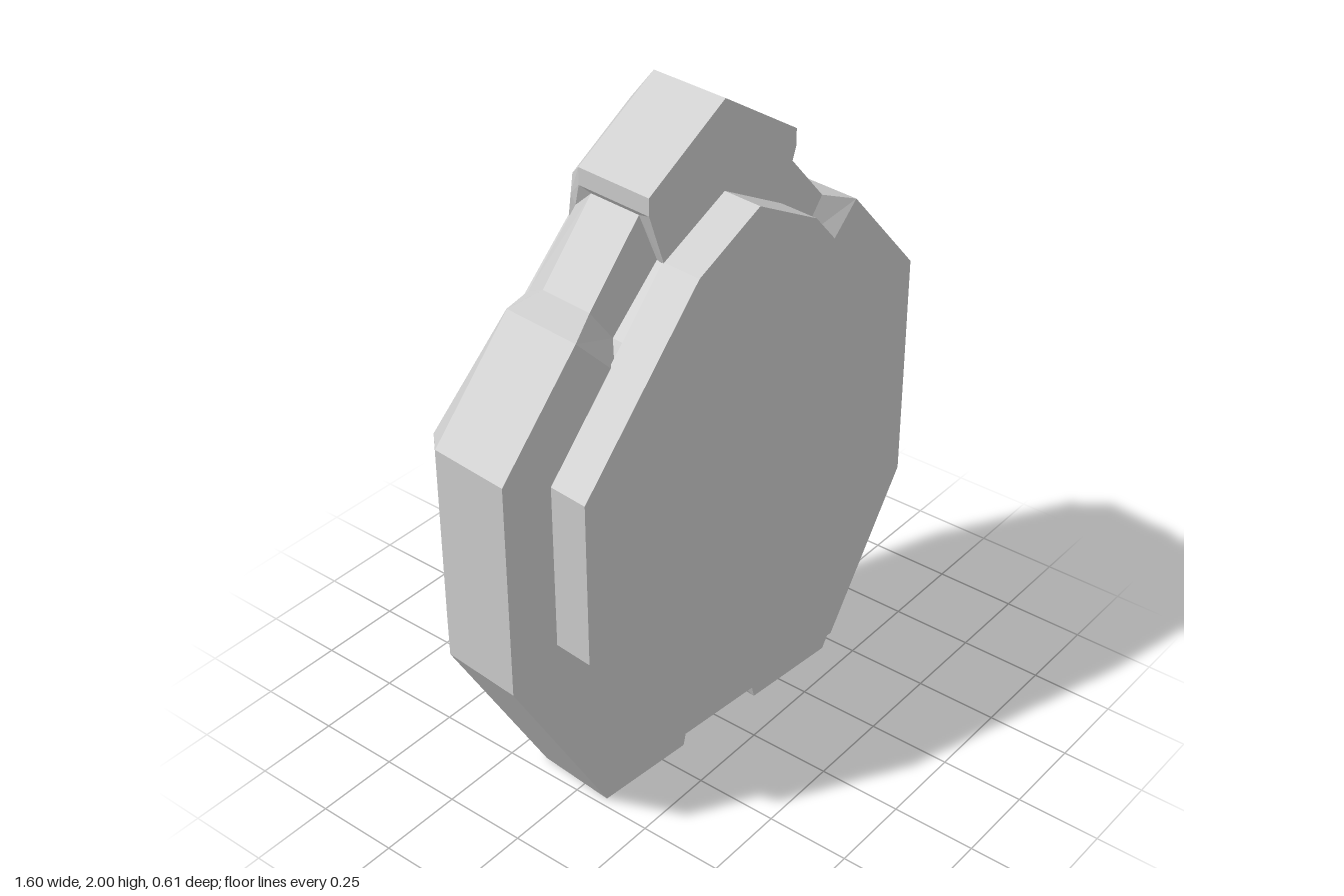
import * as THREE from 'three';

const material = new THREE.MeshStandardMaterial({ color: 0xcccccc, flatShading: true, side: THREE.DoubleSide });

// Mesh from corner quads of the left half, mirrored to the right half
function mirroredMesh(name, quads) {
  const pos = [];
  const flip = ([x, y, z]) => [-x, y, z];
  const quad = (a, b, c, d) => {
    for (const t of [[a, b, c], [a, c, d]]) {
      const [p, q, r] = t.map(v => new THREE.Vector3(...v));
      if (q.sub(p).cross(r.sub(p)).length() > 1e-7) pos.push(...t.flat());
    }
  };
  for (const [a, b, c, d] of quads) {
    quad(a, b, c, d);
    quad(flip(a), flip(d), flip(c), flip(b));
  }
  const g = new THREE.BufferGeometry();
  g.setAttribute('position', new THREE.Float32BufferAttribute(pos, 3));
  g.computeVertexNormals();
  const mesh = new THREE.Mesh(g, material);
  mesh.name = name;
  return mesh;
}

// Quads between neighbouring cross-sections
function loft(sections) {
  const quads = [];
  for (let i = 0; i < sections.length - 1; i++) {
    const s = sections[i], t = sections[i + 1];
    for (let j = 0; j < s.length - 1; j++) quads.push([s[j], t[j], t[j + 1], s[j + 1]]);
  }
  return quads;
}

// Cross-section, front to back: inner front, outline front, outline back, bevel, inner back, back plate
function section(front, outline, zf, zs, bevel, inner, plate = inner) {
  return [[...front, 0.13], [...front, zf], [...outline, zf], [...outline, zs], bevel, inner, plate];
}

export function createModel() {
  const F = 0.13, S = -0.117, B = -0.21;

  // Upper half, from the peak down to the widest point
  const upper = [
    section([0, 1.7], [0, 2], F, S, [0, 1.9, -0.2], [0, 1.77, -0.262]),
    section([0.22, 1.62], [0.272, 1.825], F, S, [0.222, 1.765, -0.192], [0.15, 1.625, -0.265]),
    section([0.22, 1.62], [0.272, 1.775], F, S, [0.23, 1.71, -0.192], [0.17, 1.6, -0.266]),
    section([0.2, 1.61], [0.262, 1.76], 0.085, -0.083, [0.24, 1.69, -0.165], [0.195, 1.59, -0.213], [0.185, 1.585, -0.266]),
    section([0.36, 1.45], [0.438, 1.555], 0.085, -0.083, [0.412, 1.51, -0.165], [0.325, 1.45, -0.213], [0.335, 1.43, -0.267]),
    section([0.4, 1.39], [0.53, 1.525], F, S, [0.468, 1.47, -0.19], [0.356, 1.41, -0.267]),
    section([0.58, 1.1], [0.79, 1.228], F, S, [0.717, 1.2, B], [0.457, 1.31, -0.271]),
  ];

  // Lower half, ending in the recessed slot at the bottom
  const slotTop = [0.236, 0.59, B], panelTop = [0.21, 0.57, -0.17];
  const lower = [
    section([0.58, 1.1], [0.79, 1.228], F, S, [0.717, 1.2, B], slotTop),
    section([0.58, 0.7], [0.79, 0.575], F, S, [0.717, 0.6, B], slotTop),
    section([0.33, 0.25], [0.465, 0], F, S, [0.42, 0.08, B], slotTop),
    section([0.095, 0.24], [0.152, 0], F, S, [0.15, 0.08, B], slotTop),
  ];
  const panel = [
    section([0.08, 0.24], [0.13, 0.04], 0.1, -0.09, [0.125, 0.1, -0.17], panelTop),
    section([0, 0.24], [0, 0.04], 0.1, -0.09, [0, 0.1, -0.17], [0, 0.57, -0.17]),
  ];

  const group = new THREE.Group();
  const body = new THREE.Group();
  body.name = 'body';
  body.rotation.y = -0.086;
  group.add(body);

  body.add(mirroredMesh('head', loft(upper.slice(0, 4))));
  body.add(mirroredMesh('neckChannels', loft(upper.slice(3, 5))));
  body.add(mirroredMesh('shoulders', loft(upper.slice(4))));
  body.add(mirroredMesh('lowerShell', loft(lower)));
  body.add(mirroredMesh('bottomSlot', [
    ...loft([lower[3], ...panel]),
    [[0, 0.59, B], slotTop, panelTop, [0, 0.57, -0.17]],
  ]));

  // Raised triangular back plate with its sloping lower edge
  const centre = [0, 1.31, -0.271];
  const plate = upper.map(s => s[6]);
  const fan = plate.slice(1).map((p, i) => [centre, plate[i], p, p]);
  body.add(mirroredMesh('backPlate', [
    ...fan,
    [centre, [0.457, 1.31, -0.271], [0.717, 1.2, B], [0, 1.2, B]],
  ]));
  body.add(mirroredMesh('backFace', [
    [[0, 1.2, B], [0.717, 1.2, B], slotTop, [0, 0.59, B]],
  ]));

  // Raised front slab
  const half = [[0.22, 1.627], [0.63, 1.152], [0.63, 0.65], [0.353, 0.19]];
  const outline = [[0, 1.745], ...half, ...half.map(([x, y]) => [-x, y]).reverse()];
  const slab = new THREE.Mesh(
    new THREE.ExtrudeGeometry(new THREE.Shape(outline.map(p => new THREE.Vector2(...p))),
      { depth: 0.126, bevelEnabled: false }), material);
  slab.name = 'frontSlab';
  slab.position.z = 0.125;
  body.add(slab);

  return group;
}
